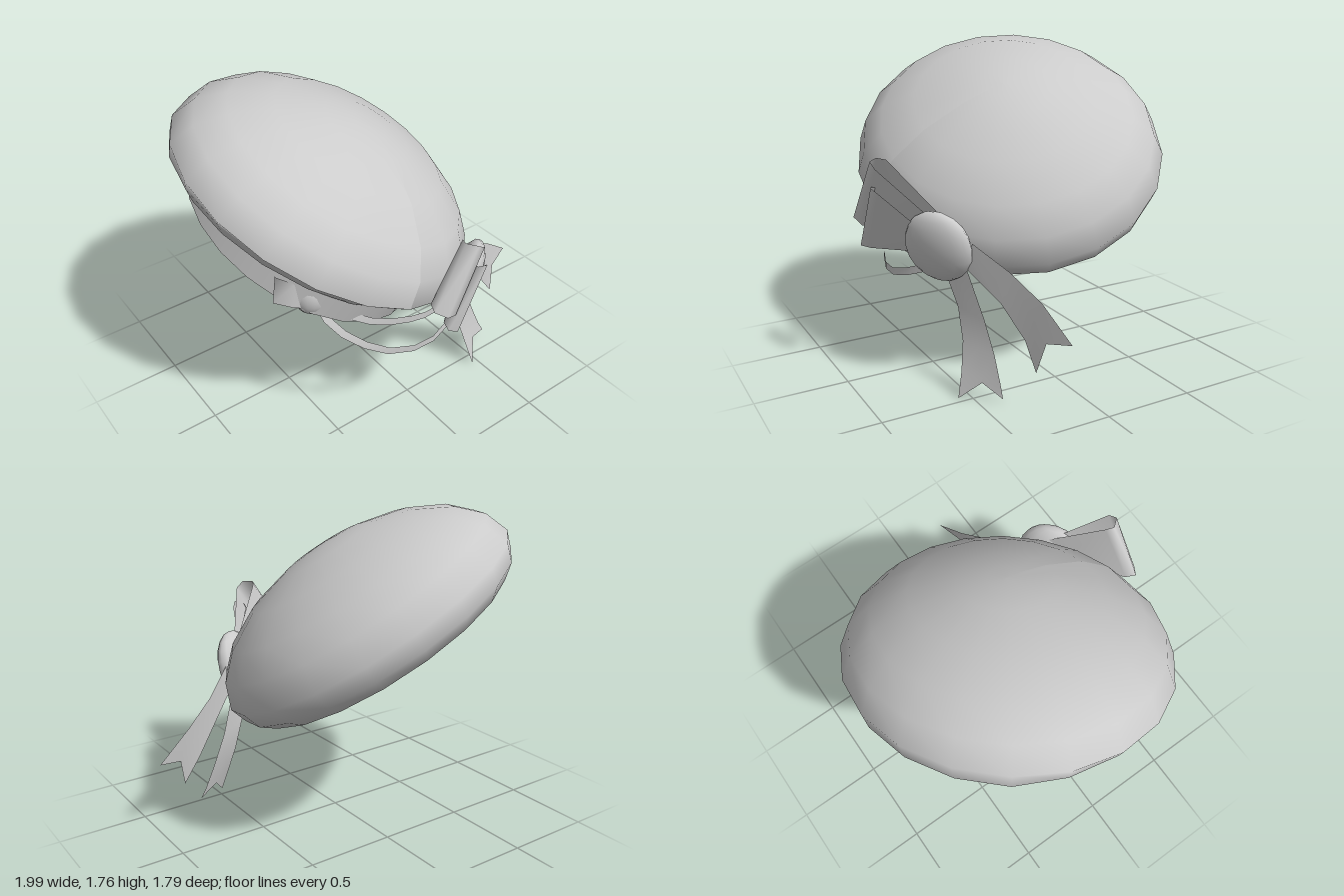
import * as THREE from 'three';

const material = new THREE.MeshStandardMaterial({ color: 0xcccccc, side: THREE.DoubleSide });
const UP = new THREE.Vector3(0, 1, 0);

// Ribbon surface through rows of points, every row holding the same number
function ribbon(name, rows) {
  const n = rows[0].length, index = [];
  for (let i = 0; i < rows.length - 1; i++) {
    for (let j = 0; j < n - 1; j++) {
      const a = i * n + j, b = a + 1, c = a + n, d = c + 1;
      index.push(a, c, b, b, c, d);
    }
  }
  const geo = new THREE.BufferGeometry();
  geo.setAttribute('position', new THREE.Float32BufferAttribute(rows.flat(2), 3));
  geo.setIndex(index);
  geo.computeVertexNormals();
  const mesh = new THREE.Mesh(geo, material);
  mesh.name = name;
  return mesh;
}

// Tail with a swallow-cut end: edge pairs plus a centre line that stops at the notch
function tail(name, edges, notch) {
  const rows = edges.map(([p, q], i) => {
    const mid = p.map((v, k) => (v + q[k]) / 2);
    return [p, i === edges.length - 1 ? notch : mid, q];
  });
  return ribbon(name, rows);
}

// Thin cord of constant width along a smooth path
function cord(name, path, width) {
  const curve = new THREE.CatmullRomCurve3(path.map(p => new THREE.Vector3(...p)));
  const rows = [], steps = 8;
  for (let i = 0; i <= steps; i++) {
    const p = curve.getPoint(i / steps), t = curve.getTangent(i / steps);
    const side = new THREE.Vector3(-t.y, t.x, 0).normalize().multiplyScalar(width / 2);
    rows.push([p.clone().add(side).toArray(), p.clone().sub(side).toArray()]);
  }
  return ribbon(name, rows);
}

function knot(name, pos, radii, rot) {
  const mesh = new THREE.Mesh(new THREE.SphereGeometry(1, 14, 10), material);
  mesh.name = name;
  mesh.scale.set(...radii);
  mesh.position.set(...pos);
  mesh.rotation.set(...rot, 'YXZ');
  return mesh;
}

export function createModel() {
  const model = new THREE.Group();
  model.name = 'beret';

  // Puffed crown with a flat underside, its lower edge lifted above the small bow
  const profile = [[0, -0.26], [0.35, -0.265], [0.62, -0.26], [0.77, -0.22], [0.845, -0.15], [0.875, -0.05],
    [0.82, 0.09], [0.7, 0.21], [0.5, 0.32], [0.25, 0.39], [0.1, 0.408], [0, 0.41]];
  const crownGeo = new THREE.LatheGeometry(profile.map(p => new THREE.Vector2(...p)), 20);
  const pos = crownGeo.attributes.position;
  for (let i = 0; i < pos.count; i++) {
    const frontLeft = Math.max(0, -0.6 * pos.getX(i) + 0.8 * pos.getZ(i));
    if (pos.getY(i) < -0.1) pos.setY(i, pos.getY(i) + 0.1 * frontLeft);
  }
  crownGeo.computeVertexNormals();
  const crown = new THREE.Mesh(crownGeo, material);
  crown.name = 'crown';
  crown.scale.set(1.055, 1, 0.985);
  crown.position.set(-0.135, 1.2, -0.062);
  crown.quaternion.setFromUnitVectors(UP, new THREE.Vector3(0.43, 0.85, 0.305).normalize());
  model.add(crown);

  // Head opening: a shallow closed band showing below the crown on the raised side
  const headband = new THREE.Mesh(new THREE.CylinderGeometry(0.7, 0.7, 0.14, 24), material);
  headband.name = 'headband';
  headband.quaternion.setFromUnitVectors(UP, new THREE.Vector3(0.4, 0.85, 0.33).normalize());
  headband.position.set(-0.25, 1.035, -0.08);
  model.add(headband);

  // Large bow: knot, two folded loops and two tails
  const bow = new THREE.Group();
  bow.name = 'largeBow';
  bow.add(
    knot('largeKnot', [0.31, 0.785, 0.59], [0.19, 0.2, 0.08], [0.25, 0.65, 0]),
    ribbon('upperLoop', [
      [[0.22, 0.8, 0.64], [0.3, 0.94, 0.63]],
      [[-0.03, 0.85, 0.87], [0.15, 1.18, 0.85]],
      [[-0.1, 0.88, 0.89], [0.1, 1.215, 0.86]],
      [[-0.155, 0.915, 0.85], [0.06, 1.22, 0.81]],
      [[-0.13, 0.92, 0.79], [0.08, 1.21, 0.765]],
      [[0.22, 0.8, 0.58], [0.31, 0.94, 0.57]]]),
    ribbon('lowerLoop', [
      [[0.18, 0.73, 0.65], [0.25, 0.88, 0.67]],
      [[0.03, 0.74, 0.85], [0.18, 1.06, 0.85]],
      [[-0.02, 0.745, 0.885], [0.15, 1.09, 0.88]],
      [[-0.06, 0.755, 0.86], [0.11, 1.085, 0.86]],
      [[-0.04, 0.76, 0.8], [0.12, 1.07, 0.8]],
      [[0.2, 0.75, 0.6], [0.28, 0.88, 0.6]]]),
    tail('lowerTail', [
      [[0.28, 0.66, 0.55], [0.4, 0.68, 0.48]],
      [[0.34, 0.45, 0.5], [0.5, 0.42, 0.43]],
      [[0.39, 0.28, 0.5], [0.58, 0.25, 0.415]],
      [[0.43, 0.13, 0.53], [0.64, 0.12, 0.415]],
      [[0.46, 0, 0.565], [0.675, 0.055, 0.42]]], [0.545, 0.1, 0.47]),
    tail('sideTail', [
      [[0.42, 0.67, 0.48], [0.45, 0.82, 0.47]],
      [[0.58, 0.53, 0.38], [0.62, 0.7, 0.35]],
      [[0.72, 0.37, 0.32], [0.8, 0.58, 0.27]],
      [[0.82, 0.235, 0.315], [1, 0.43, 0.225]]], [0.855, 0.395, 0.28]));
  model.add(bow);

  // Small bow on the headband under the raised side
  const smallBow = new THREE.Group();
  smallBow.name = 'smallBow';
  smallBow.add(
    knot('smallKnot', [-0.62, 0.98, 0.46], [0.08, 0.09, 0.05], [0, -0.6, 0]),
    ribbon('smallLoop', [
      [[-0.65, 0.94, 0.47], [-0.64, 1.02, 0.47]],
      [[-0.72, 0.965, 0.45], [-0.7, 1.1, 0.45]],
      [[-0.8, 1, 0.4], [-0.78, 1.15, 0.4]],
      [[-0.76, 1, 0.36], [-0.75, 1.14, 0.36]],
      [[-0.63, 0.95, 0.42], [-0.62, 1.02, 0.42]]]),
    tail('smallTail', [
      [[-0.58, 0.93, 0.47], [-0.57, 1, 0.47]],
      [[-0.52, 0.88, 0.51], [-0.49, 0.98, 0.51]],
      [[-0.46, 0.82, 0.54], [-0.41, 0.95, 0.54]]], [-0.46, 0.89, 0.53]));
  model.add(smallBow);

  // Two hanging cords joining the bows
  model.add(
    cord('longCord', [[-0.58, 0.92, 0.46], [-0.53, 0.79, 0.5], [-0.42, 0.67, 0.58], [-0.28, 0.59, 0.66],
      [-0.1, 0.565, 0.71], [0.06, 0.59, 0.7], [0.22, 0.65, 0.63]], 0.04),
    cord('shortCord', [[-0.56, 0.93, 0.47], [-0.46, 0.85, 0.54], [-0.33, 0.775, 0.6], [-0.15, 0.73, 0.65],
      [0, 0.71, 0.66], [0.2, 0.7, 0.62]], 0.04));
  return model;
}
